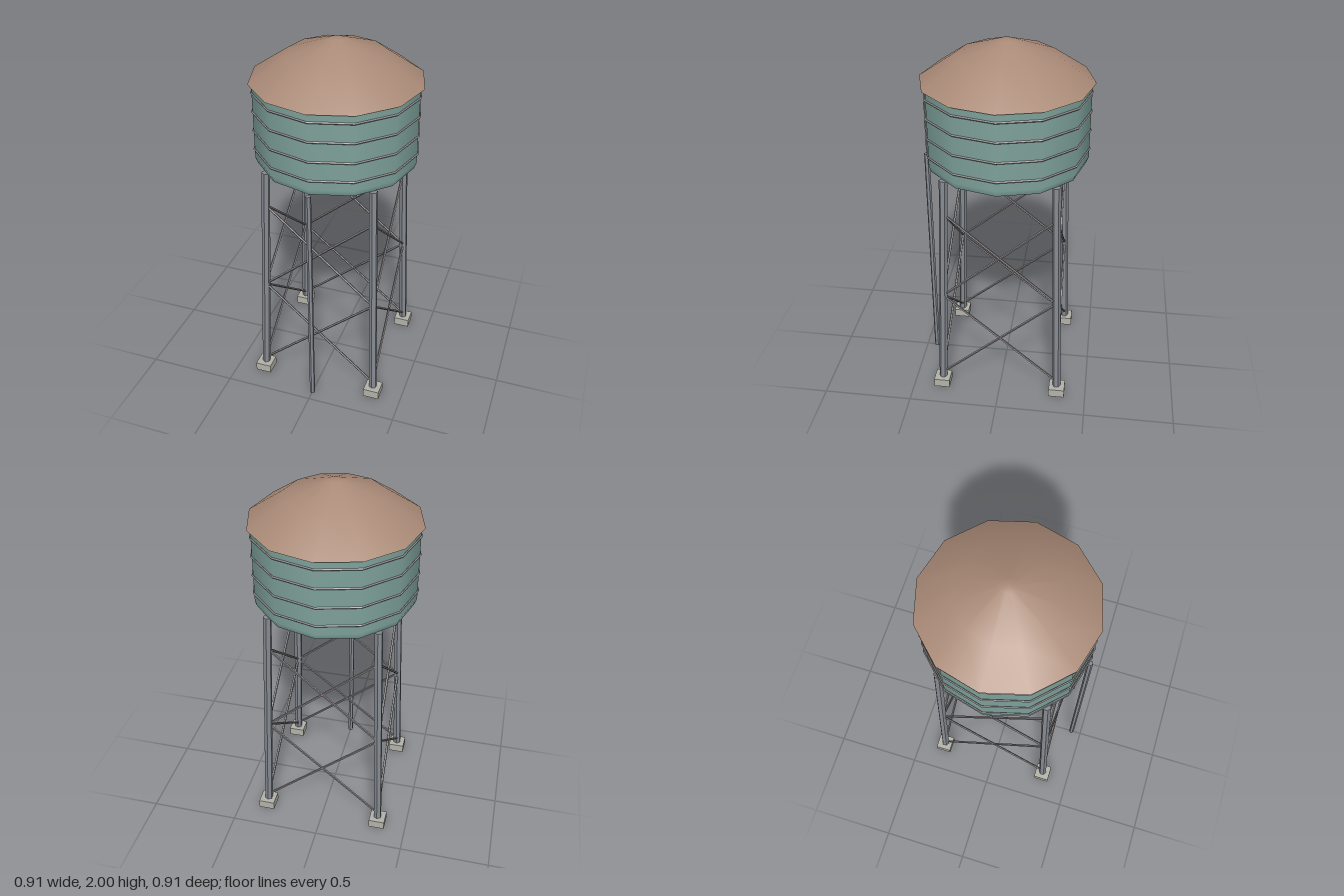
import * as THREE from 'three';

const mat = (name, color, extra = {}) => {
  const m = new THREE.MeshStandardMaterial({ color, ...extra });
  m.name = name;
  return m;
};

export function createModel() {
  const model = new THREE.Group();
  model.name = 'waterTower';
  const teal = mat('tankTeal', 0x7fa39b);
  const brown = mat('roofBrown', 0xaa8a77);
  const steel = mat('legSteel', 0x868b92, { flatShading: true });
  const rod = mat('rodGrey', 0x8a8587, { flatShading: true });
  const concrete = mat('concrete', 0xb4b3aa);
  const SIDES = 12;

  const add = (name, geometry, material, parent = model) => {
    const mesh = new THREE.Mesh(geometry, material);
    mesh.name = name;
    parent.add(mesh);
    return mesh;
  };
  const group = (name) => {
    const g = new THREE.Group();
    g.name = name;
    model.add(g);
    return g;
  };
  const lathe = (points) =>
    new THREE.LatheGeometry(points.map(([r, y]) => new THREE.Vector2(r, y)), SIDES);
  const disc = (r, y) =>
    new THREE.CircleGeometry(r, SIDES).rotateX(Math.PI / 2).translate(0, y, 0);

  // Straight bar between two points
  const bar = (name, a, b, radius, sides, material, parent) => {
    const dir = b.clone().sub(a);
    const mesh = add(name, new THREE.CylinderGeometry(radius, radius, dir.length(), sides), material, parent);
    mesh.position.copy(a).add(b).multiplyScalar(0.5);
    mesh.quaternion.setFromUnitVectors(new THREE.Vector3(0, 1, 0), dir.normalize());
    return mesh;
  };

  // Tank with a chamfered lower edge
  const tank = group('tank');
  add('tankWall', lathe([[0.425, 1.34], [0.438, 1.375], [0.438, 1.79]]), teal, tank);
  add('tankFloor', disc(0.425, 1.34), teal, tank);

  // Hoops around the tank
  for (const y of [1.425, 1.53, 1.638, 1.742]) {
    const hoop = new THREE.TorusGeometry(0.44, 0.006, 4, SIDES).rotateX(Math.PI / 2);
    add('hoop', hoop, rod, tank).position.y = y;
  }

  // Two-pitch roof with a small flat cap
  const roof = group('roof');
  add('roofShell', lathe([[0.457, 1.79], [0.265, 1.92], [0.04, 2], [0, 2]]), brown, roof);
  add('roofUnderside', disc(0.457, 1.79), brown, roof);

  // Splayed legs on concrete footings
  const legX = (y) => 0.335 - 0.0325 * y;
  const at = (sx, sz, y) => new THREE.Vector3(sx * legX(y), y, sz * legX(y));
  const legs = group('legs');
  const footings = group('footings');
  for (const sx of [-1, 1]) {
    for (const sz of [-1, 1]) {
      bar('leg', at(sx, sz, 0.002), at(sx, sz, 1.338), 0.023, 6, steel, legs);
      add('footing', new THREE.BoxGeometry(0.09, 0.05, 0.09), concrete, footings)
        .position.set(sx * 0.335, 0.03, sz * 0.335);
    }
  }

  // Two crossed pairs of braces on each side
  const braces = group('braces');
  const corners = [[1, 1], [1, -1], [-1, -1], [-1, 1]];
  corners.forEach((c, i) => {
    const d = corners[(i + 1) % 4];
    for (const [low, high] of [[0.08, 0.625], [0.625, 1.14]]) {
      bar('brace', at(...c, low), at(...d, high), 0.007, 5, rod, braces);
      bar('brace', at(...d, low), at(...c, high), 0.007, 5, rod, braces);
    }
  });

  // Supply pipe at the front
  bar('supplyPipe', new THREE.Vector3(0, 0, 0.44), new THREE.Vector3(0, 1.338, 0.44), 0.015, 6, steel, model);

  return model;
}
